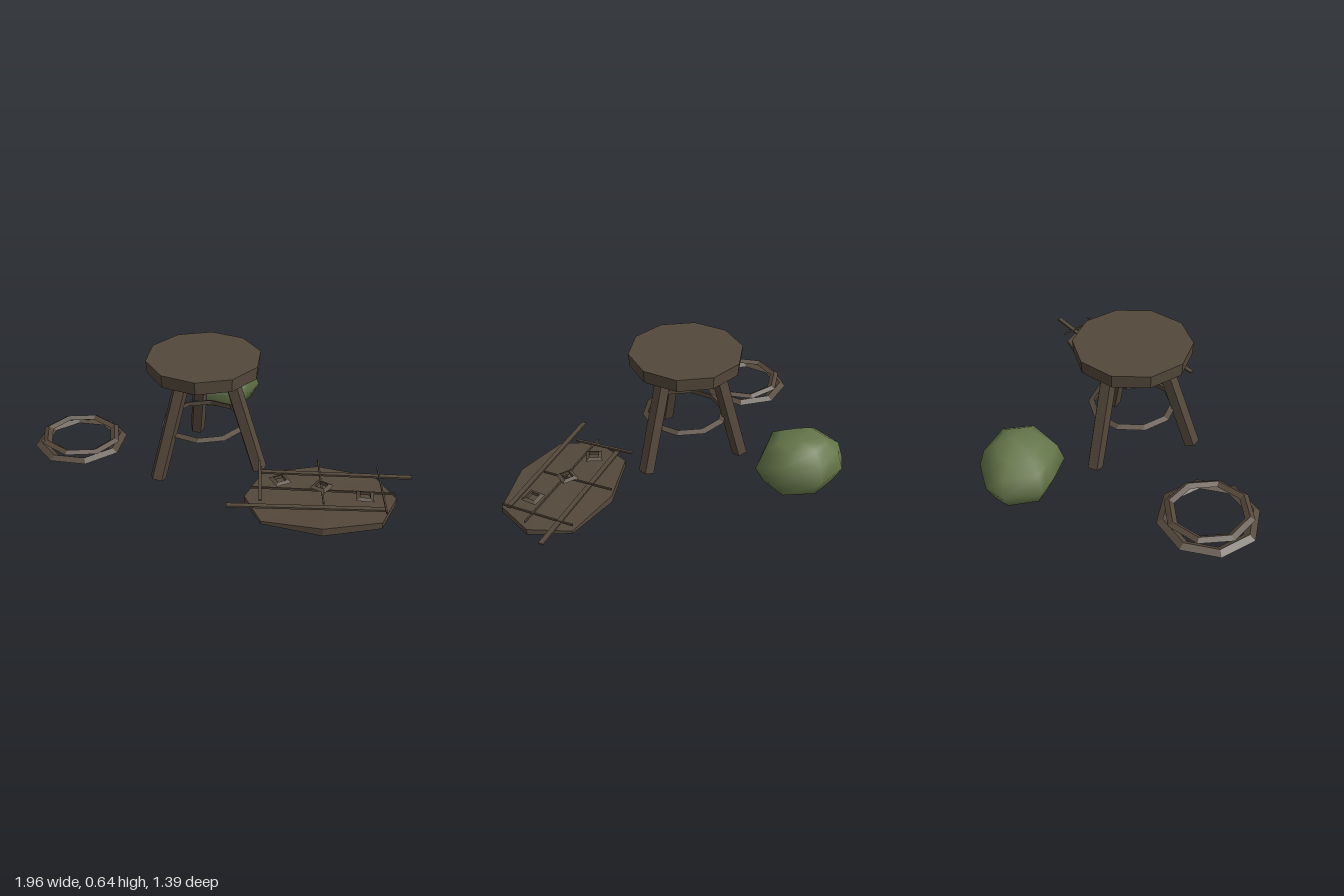
import * as THREE from 'three';

const wood = new THREE.MeshStandardMaterial({ color: 0x54483b });
wood.name = 'dark wood';
wood.flatShading = true;
const green = new THREE.MeshStandardMaterial({ color: 0x65764a });
green.name = 'moss green';

function add(parent, name, geometry, material = wood) {
  const mesh = new THREE.Mesh(geometry, material);
  mesh.name = name;
  parent.add(mesh);
  return mesh;
}

// Turn a mesh so that its y axis runs from a to b
function span(mesh, a, b) {
  const dir = b.clone().sub(a);
  mesh.position.copy(a).add(b).multiplyScalar(0.5);
  mesh.quaternion.setFromUnitVectors(new THREE.Vector3(0, 1, 0), dir.normalize());
  return mesh;
}

// Closed solid through rings of points, listed bottom to top
function loft(rings, bottom, top) {
  const n = rings[0].length;
  const pos = [...rings.flat(), bottom, top].flat();
  const lowCentre = rings.length * n, highCentre = lowCentre + 1;
  const last = (rings.length - 1) * n;
  const index = [];
  for (let j = 0; j < n; j++) {
    const k = (j + 1) % n;
    for (let r = 0; r < last; r += n) {
      index.push(r + k, r + j, r + n + j, r + k, r + n + j, r + n + k);
    }
    index.push(lowCentre, j, k, highCentre, last + k, last + j);
  }
  const g = new THREE.BufferGeometry();
  g.setAttribute('position', new THREE.Float32BufferAttribute(pos, 3));
  g.setIndex(index);
  g.computeVertexNormals();
  return g;
}

// Flat-lying faceted hoop
function hoop(parent, name, radius, tube, sides, segments, flatten, turn) {
  const g = new THREE.TorusGeometry(radius, tube, sides, segments);
  g.rotateX(Math.PI / 2).rotateY(turn).scale(1, flatten, 1);
  return add(parent, name, g);
}

function makeStool() {
  const stool = new THREE.Group();
  stool.name = 'stool';
  const seat = add(stool, 'seat', new THREE.CylinderGeometry(0.305, 0.3, 0.07, 10));
  seat.position.set(-0.135, 0.602, 0.053);

  // Splayed legs: foot x, z and top x, z
  const legs = {
    frontLeg: [-0.175, 0.375, -0.145, 0.19],
    leftLeg: [0.158, -0.065, 0.005, 0.015],
    rightLeg: [-0.385, -0.135, -0.255, -0.055],
  };
  for (const [name, [fx, fz, tx, tz]] of Object.entries(legs)) {
    const a = new THREE.Vector3(fx, 0.013, fz), b = new THREE.Vector3(tx, 0.58, tz);
    const g = new THREE.CylinderGeometry(0.043, 0.043, a.distanceTo(b), 5);
    span(add(stool, name, g), a, b);
  }
  hoop(stool, 'footRing', 0.215, 0.02, 3, 10, 0.75, 0.3).position.set(-0.135, 0.247, 0.055);
  return stool;
}

function makeCoil() {
  const coil = new THREE.Group();
  coil.name = 'coil';
  hoop(coil, 'lowerHoop', 0.225, 0.033, 4, 8, 0.6, 0.19).position.set(-0.745, 0.04, 0.44);
  const upper = hoop(coil, 'upperHoop', 0.2, 0.026, 4, 8, 0.6, 0.5);
  upper.position.set(-0.74, 0.078, 0.44);
  upper.rotation.set(-0.03, 0, -0.04);
  return coil;
}

function makeBush() {
  // Plan outline, scaled level by level about its centre
  const plan = [[-0.53, -0.7], [-0.33, -0.62], [-0.295, -0.44], [-0.465, -0.28],
    [-0.62, -0.32], [-0.72, -0.36], [-0.765, -0.55], [-0.7, -0.64]];
  const levels = [[0.012, 0.42], [0.045, 0.78], [0.14, 1], [0.235, 0.86], [0.285, 0.55]];
  const rings = levels.map(([y, s]) =>
    plan.map(([x, z]) => [-0.53 + (x + 0.53) * s, y, -0.5 + (z + 0.5) * s]));
  return loft(rings, [-0.53, 0.01, -0.5], [-0.5, 0.305, -0.52]);
}

function makeRack() {
  const rack = new THREE.Group();
  rack.name = 'rack';

  // Oval slab: x, z and half thickness at each corner, thinner at the tips
  const rim = [[0.25, 0.01, 0.018], [0.43, -0.23, 0.021], [0.7, -0.375, 0.008], [0.9, -0.275, 0.017],
    [0.96, -0.06, 0.018], [0.78, 0.18, 0.021], [0.51, 0.325, 0.008], [0.32, 0.235, 0.017]];
  const ring = (s) => rim.map(([x, z, h]) => [x, 0.045 + s * h, z]);
  add(rack, 'slab', loft([ring(-1), ring(1)], [0.605, 0.024, -0.025], [0.605, 0.067, -0.025]));

  // Lattice of sticks: ends x, y, z then width
  const sticks = [
    [0.34, 0.1, 0.39, 0.94, 0.1, -0.12, 0.026],
    [0.27, 0.103, 0.06, 0.88, 0.1, -0.44, 0.026],
    [0.33, 0.105, 0.2, 0.9, 0.1, -0.26, 0.008],
    [0.215, 0.115, -0.005, 0.44, 0.105, 0.25, 0.014],
    [0.43, 0.108, -0.23, 0.69, 0.106, 0.06, 0.008],
    [0.7, 0.105, -0.39, 0.96, 0.105, -0.09, 0.008],
  ];
  for (const [ax, ay, az, bx, by, bz, w] of sticks) {
    const a = new THREE.Vector3(ax, ay, az), b = new THREE.Vector3(bx, by, bz);
    const stick = add(rack, 'stick', new THREE.BoxGeometry(a.distanceTo(b), 0.01, w));
    stick.position.copy(a).add(b).multiplyScalar(0.5);
    stick.rotation.set(0, Math.atan2(az - bz, bx - ax), Math.asin((by - ay) / a.distanceTo(b)), 'YXZ');
  }

  // Lashings on the lattice
  [[0.41, 0.06], [0.6, -0.04], [0.81, -0.12]].forEach(([x, z], i) => {
    const knot = hoop(rack, 'lashing', 0.044, 0.018, 3, 4, 0.6, 0.4 + i * 0.5);
    knot.position.set(x, 0.115, z);
  });
  return rack;
}

export function createModel() {
  const model = new THREE.Group();
  model.name = 'campFurniture';
  model.add(makeStool(), makeCoil(), makeRack());
  add(model, 'bush', makeBush(), green);
  return model;
}
